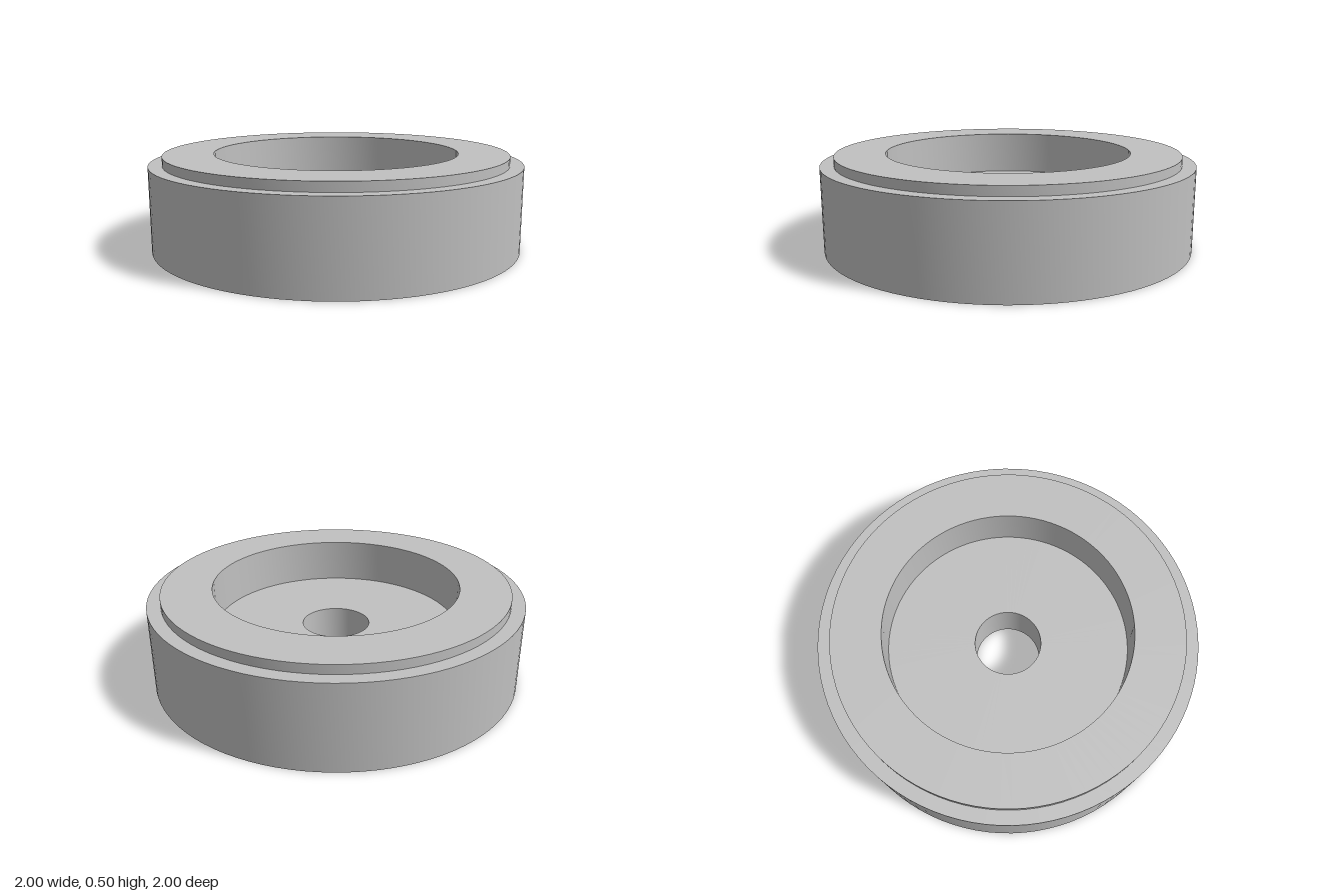
import * as THREE from 'three';
import { toCreasedNormals } from 'three/addons/utils/BufferGeometryUtils.js';

export function createModel() {
  const group = new THREE.Group();
  group.name = 'steppedRing';
  const grey = new THREE.MeshStandardMaterial({ color: 0xc0c0c0 });
  grey.name = 'light grey';

  // Radii and heights of the turned body
  const bore = 0.182, recess = 0.66, lip = 0.928, outer = 1;
  const floor = 0.26, shoulder = 0.452, top = 0.5;

  // Closed section: underside, outer wall, shoulder, lip, recess, bore
  const section = [
    [bore, 0], [outer, 0], [outer, shoulder], [lip, shoulder], [lip, top],
    [recess, top], [recess, floor], [bore, floor], [bore, 0],
  ].map(([r, y]) => new THREE.Vector2(r, y));

  const body = new THREE.Mesh(
    toCreasedNormals(new THREE.LatheGeometry(section, 96), Math.PI / 6), grey);
  body.name = 'recessedBody';
  group.add(body);
  return group;
}
